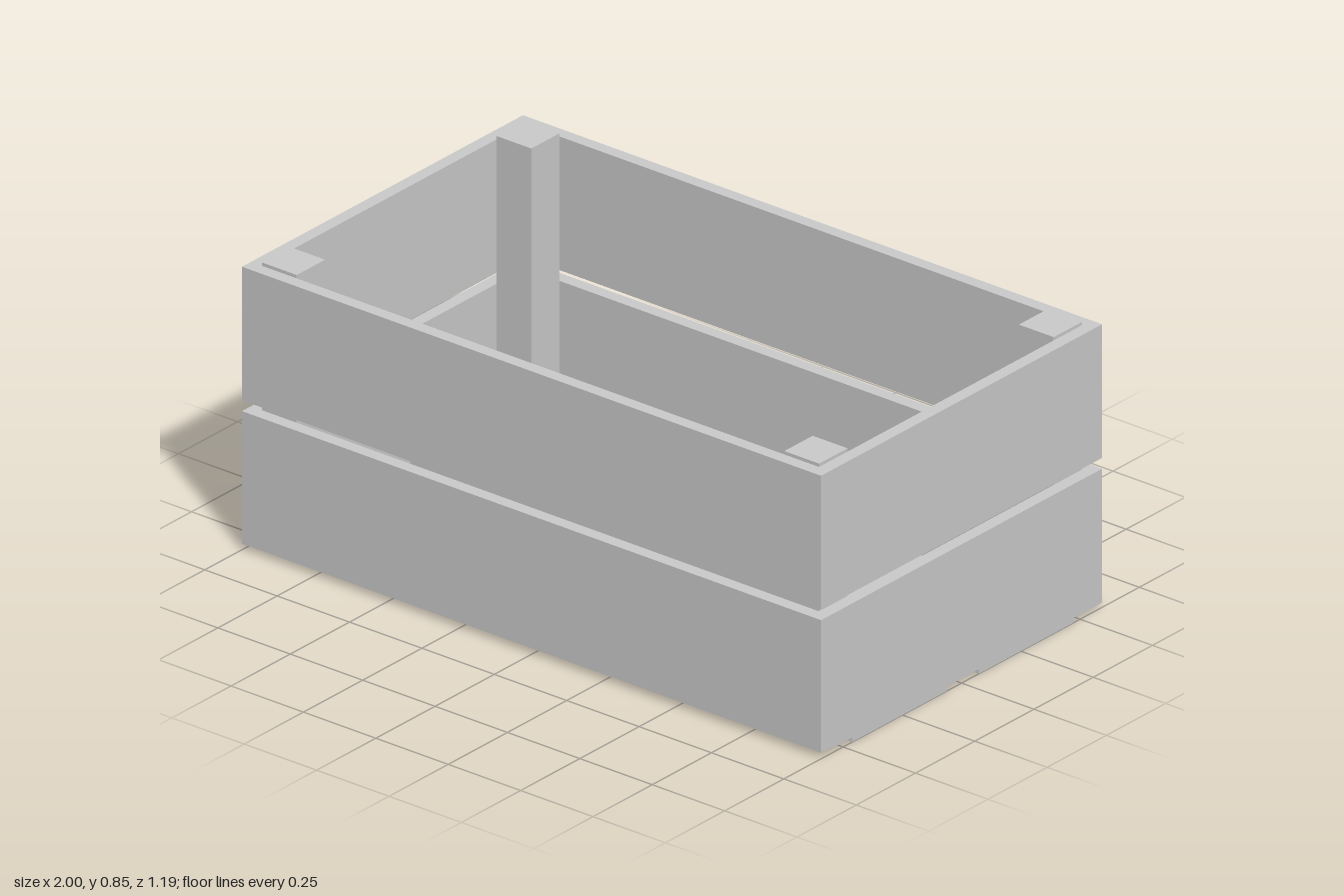
import * as THREE from 'three';

export function createModel() {
  const crate = new THREE.Group();
  crate.name = 'crate';
  const material = new THREE.MeshStandardMaterial({ color: 0xcccccc, flatShading: true });

  // Box given by its lower and upper limit on each axis
  function board(name, [x0, x1], [y0, y1], [z0, z1]) {
    const mesh = new THREE.Mesh(new THREE.BoxGeometry(x1 - x0, y1 - y0, z1 - z0), material);
    mesh.position.set((x0 + x1) / 2, (y0 + y1) / 2, (z0 + z1) / 2);
    mesh.name = name;
    crate.add(mesh);
  }
  // Span between two distances from the centre, on the chosen side
  const span = (side, inner, outer) => (side > 0 ? [inner, outer] : [-outer, -inner]);

  const halfLength = 1, halfWidth = 0.593, wall = 0.038, post = 0.12;
  const innerX = halfLength - wall, innerZ = halfWidth - wall;

  // Two tiers of wall boards; end boards sit between the long ones
  const tiers = [['lower', 0.014, 0.413], ['upper', 0.445, 0.843]];
  for (const [tier, bottom, top] of tiers) {
    const frontBottom = tier === 'lower' ? 0.018 : bottom;
    board(tier + 'FrontBoard', [-halfLength, halfLength], [frontBottom, top], span(1, innerZ, halfWidth));
    board(tier + 'BackBoard', [-halfLength, halfLength], [bottom, top], span(-1, innerZ, halfWidth));
    for (const side of [1, -1]) {
      board(tier + (side > 0 ? 'Left' : 'Right') + 'EndBoard',
        span(side, innerX, halfLength), [bottom, top], [-innerZ, innerZ]);
    }
  }

  // Square corner posts, rising just above the walls
  for (const sx of [1, -1]) {
    for (const sz of [1, -1]) {
      board((sz > 0 ? 'front' : 'back') + (sx > 0 ? 'Left' : 'Right') + 'Post',
        span(sx, innerX - post, innerX), [0.014, 0.853], span(sz, innerZ - post, innerZ));
    }
  }

  // Floor slats, running the full length below the end boards
  board('frontFloorSlat', [-halfLength, halfLength], [0, 0.038], [0.063, 0.461]);
  board('backFloorSlat', [-halfLength, halfLength], [0, 0.038], [-0.472, -0.073]);

  return crate;
}
